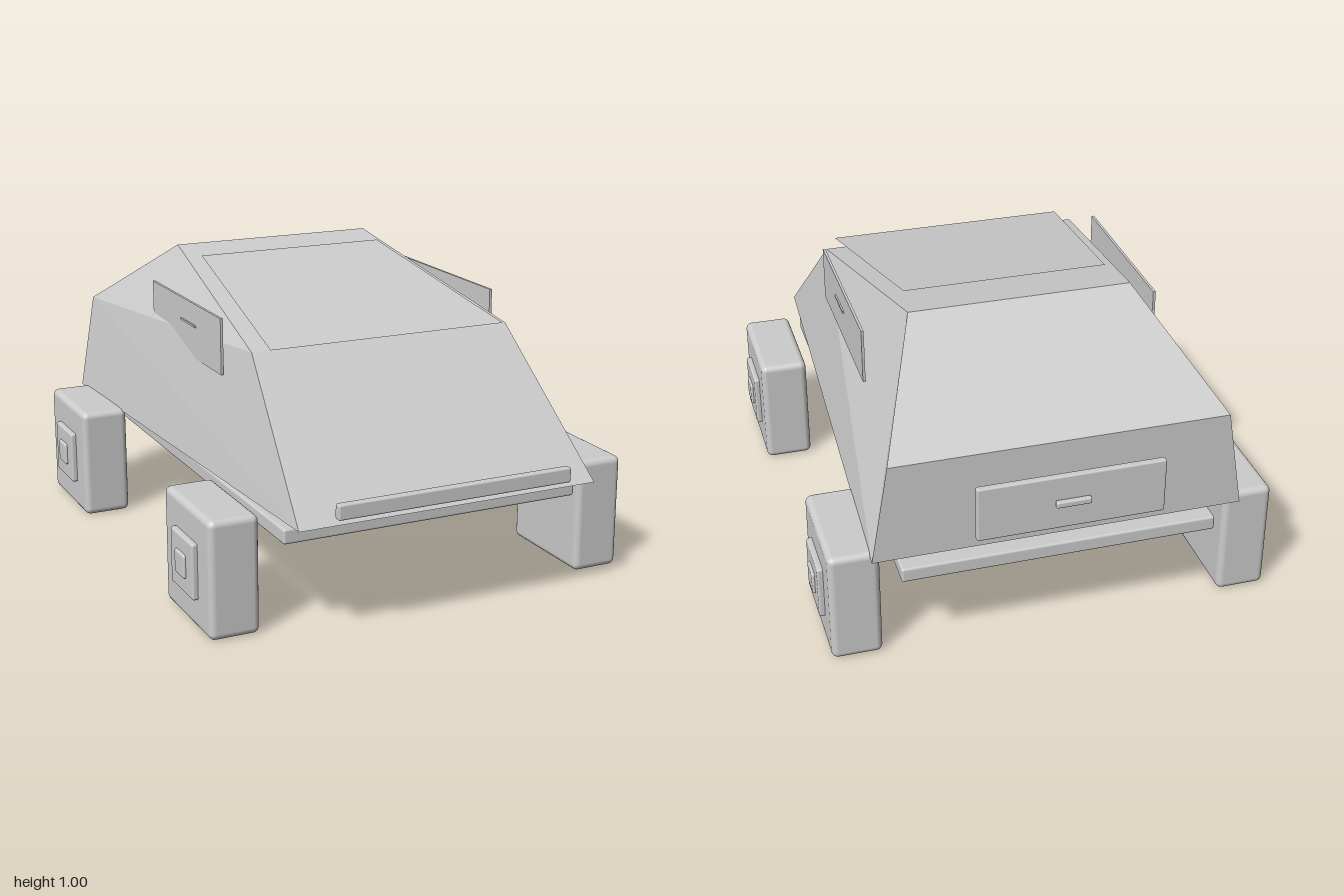
import * as THREE from 'three';
import { RoundedBoxGeometry } from 'three/addons/geometries/RoundedBoxGeometry.js';

const paint = new THREE.MeshStandardMaterial({ color: 0xcccccc, side: THREE.DoubleSide });
paint.name = 'light grey';

function add(parent, name, geometry, x = 0, y = 0, z = 0) {
  const mesh = new THREE.Mesh(geometry, paint);
  mesh.name = name;
  mesh.position.set(x, y, z);
  parent.add(mesh);
  return mesh;
}

const box = (w, h, d) => new THREE.BoxGeometry(w, h, d);
const rounded = (w, h, d, r) => new RoundedBoxGeometry(w, h, d, 3, r);

// Flat-faced geometry from polygons, each fanned from its first corner
function faceted(polygons) {
  const out = [];
  for (const p of polygons)
    for (let i = 1; i < p.length - 1; i++) out.push(...p[0], ...p[i], ...p[i + 1]);
  const geometry = new THREE.BufferGeometry();
  geometry.setAttribute('position', new THREE.Float32BufferAttribute(out, 3));
  geometry.computeVertexNormals();
  return geometry;
}

// Wedge shell: half width, height and depth at each profile corner
function bodyGeometry() {
  const profile = [
    [0.618, 0.387, -0.873], // rear bottom
    [0.56, 0.73, -0.873], // rear top
    [0.377, 1.002, -0.415], // roof peak
    [0.47, 0.82, 0.481], // hood top
    [0.528, 0.387, 0.963], // nose
  ];
  const L = profile;
  const R = profile.map(([x, y, z]) => [-x, y, z]);
  const faces = [
    [L[0], L[1], L[2], L[3], L[4]], // left side
    [R[1], R[0], R[4], R[3], R[2]], // right side
  ];
  for (let i = 0; i < 5; i++) {
    const j = (i + 1) % 5;
    faces.push([L[i], R[i], R[j], L[j]]);
  }
  return faceted(faces);
}

export function createModel() {
  const car = new THREE.Group();
  car.name = 'car';

  add(car, 'body', bodyGeometry());
  add(car, 'chassis', rounded(1.055, 0.05, 1.74, 0.008), 0, 0.33, -0.02);

  // Windscreen sheet, lying just above the roof slope and overhanging the hood
  add(car, 'windscreen', faceted([[
    [-0.427, 0.835, 0.533], [0.427, 0.835, 0.533], [0.35, 0.99, -0.245], [-0.35, 0.99, -0.245],
  ]]));

  // Bumper and tailgate panel
  add(car, 'frontBumper', rounded(0.825, 0.05, 0.028, 0.006), 0, 0.44, 0.986);
  add(car, 'tailgatePanel', rounded(0.615, 0.19, 0.024, 0.006), 0, 0.577, -0.968);
  add(car, 'tailgateHandle', rounded(0.115, 0.022, 0.02, 0.006), 0, 0.58, -0.99);

  for (const [side, s] of [['left', 1], ['right', -1]]) {
    // Side window plates with slim handles
    add(car, side + 'SideWindow', box(0.009, 0.19, 0.637), s * 0.507, 0.805, 0.003);
    add(car, side + 'SideHandle', box(0.008, 0.007, 0.13), s * 0.513, 0.824, 0.035);

    // Blocky wheels with stepped square hubs
    for (const [end, z] of [['Front', 0.601], ['Rear', -0.641]]) {
      const wheel = new THREE.Group();
      wheel.name = side + end + 'Wheel';
      wheel.position.set(s * 0.667, 0.198, z);
      add(wheel, 'tyre', rounded(0.168, 0.394, 0.39, 0.022));
      add(wheel, 'hub', rounded(0.04, 0.188, 0.188, 0.008), s * 0.083);
      add(wheel, 'hubCap', rounded(0.03, 0.08, 0.08, 0.008), s * 0.097);
      car.add(wheel);
    }
  }
  return car;
}
